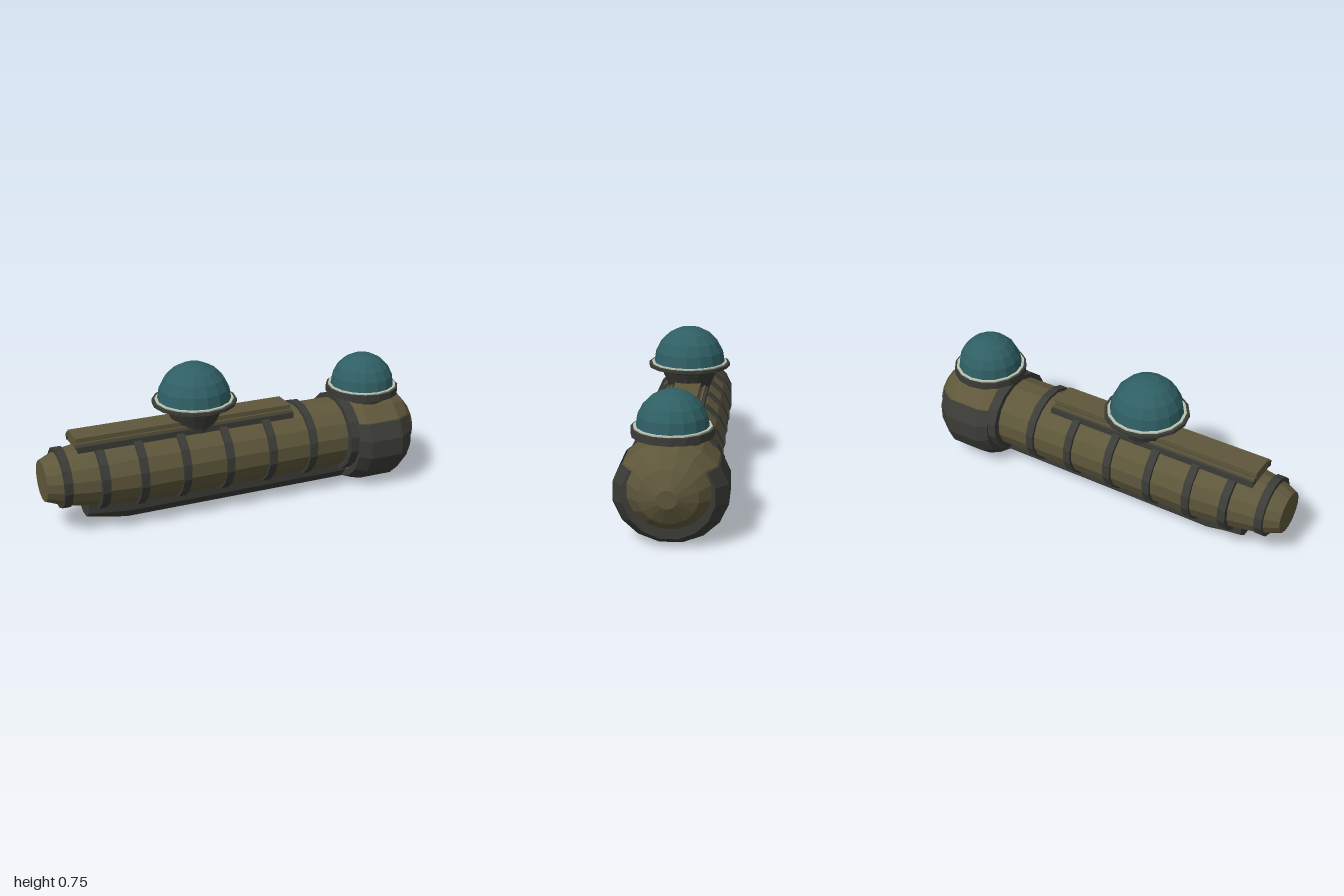
import * as THREE from 'three';

const mat = (name, color, side = THREE.FrontSide) => {
  const m = new THREE.MeshStandardMaterial({ color, side });
  m.name = name;
  return m;
};

// Faceted normals
function facet(geo) {
  const g = geo.index ? geo.toNonIndexed() : geo;
  g.computeVertexNormals();
  return g;
}

// Elliptical cross-sections [x, centreY, radiusY, radiusZ] joined along x.
// Angles run from the underside; arc < sides leaves the top open.
function loft(sections, sides = 16, arc = sides) {
  const pos = [], idx = [], n = arc + 1;
  for (const [x, cy, ry, rz] of sections) {
    for (let j = 0; j < n; j++) {
      const a = (j - arc / 2) * 2 * Math.PI / sides + (arc === sides ? Math.PI / sides : 0);
      pos.push(x, cy - ry * Math.cos(a), rz * Math.sin(a));
    }
  }
  for (let i = 0; i < sections.length - 1; i++) {
    for (let j = 0; j < arc; j++) {
      const a = i * n + j, b = a + n;
      idx.push(a, b, a + 1, b, b + 1, a + 1);
    }
  }
  // End caps on closed bodies
  if (arc === sides) {
    const last = sections.length - 1;
    for (const i of [0, last]) {
      const c = pos.length / 3;
      pos.push(sections[i][0], sections[i][1], 0);
      for (let j = 0; j < arc; j++) {
        const a = i * n + j;
        if (i === 0) idx.push(c, a, a + 1);
        else idx.push(c, a + 1, a);
      }
    }
  }
  const g = new THREE.BufferGeometry();
  g.setAttribute('position', new THREE.Float32BufferAttribute(pos, 3));
  g.setIndex(idx);
  return facet(g);
}

export function createModel() {
  const model = new THREE.Group();
  model.name = 'gondola';
  const olive = mat('olive hull', 0x5e573b);
  const dark = mat('dark metal', 0x3b3b37, THREE.DoubleSide);
  const teal = mat('teal glass', 0x2f5f64);
  const pale = mat('pale rim', 0xb9c4b2);

  const add = (name, geo, material, parent = model) => {
    const m = new THREE.Mesh(geo, material);
    m.name = name;
    parent.add(m);
    return m;
  };
  const box = (name, x0, x1, y0, y1, z, depth, material) =>
    add(name, new THREE.BoxGeometry(x1 - x0, y1 - y0, depth), material)
      .position.set((x0 + x1) / 2, (y0 + y1) / 2, z);

  // Hull, tapering to the tail
  add('hull', loft([
    [-1, 0.263, 0.1, 0.107], [-0.91, 0.264, 0.135, 0.148],
    [-0.74, 0.265, 0.16, 0.178], [-0.57, 0.265, 0.178, 0.194], [0.6, 0.265, 0.178, 0.194],
  ]), olive);

  // Hoops around the hull
  const hoops = [[-0.91, 0.147, 0.157], [-0.74, 0.176, 0.2]];
  for (const x of [-0.55, -0.335, -0.11, 0.12, 0.345]) hoops.push([x, 0.191, 0.208]);
  for (const [x, ry, rz] of hoops) {
    add('hullHoop', loft([[x - 0.02, 0.267, ry, rz], [x + 0.02, 0.267, ry, rz]]), dark);
  }
  add('neckCollar', loft([[0.545, 0.266, 0.2, 0.228], [0.6, 0.266, 0.2, 0.228]]), dark);

  // Keel under the hull
  add('keel', loft([
    [-0.8, 0.11, 0.065, 0.085], [-0.6, 0.11, 0.103, 0.1], [0.65, 0.11, 0.103, 0.1],
  ], 8), dark);

  // Rounded head and nose
  add('head', loft([
    [0.59, 0.25, 0.2, 0.22], [0.65, 0.236, 0.228, 0.25], [0.83, 0.236, 0.228, 0.248],
    [0.91, 0.265, 0.174, 0.186], [0.96, 0.26, 0.125, 0.135], [1, 0.26, 0.042, 0.045],
  ]), olive);

  // Chin guard wrapped around the lower head
  add('chinGuard', loft([
    [0.59, 0.24, 0.19, 0.2], [0.59, 0.24, 0.222, 0.236], [0.65, 0.23, 0.235, 0.26],
    [0.83, 0.23, 0.235, 0.26], [0.91, 0.245, 0.203, 0.205], [0.91, 0.255, 0.16, 0.17],
  ], 16, 11), dark);

  // Deck plank with paired rails
  box('deckPlank', -0.845, 0.275, 0.42, 0.475, 0, 0.13, olive);
  for (const s of [-1, 1]) {
    box('innerRail', -0.845, 0.275, 0.42, 0.45, s * 0.073, 0.018, dark);
    box('railStrip', -0.845, 0.275, 0.435, 0.458, s * 0.083, 0.01, olive);
    box('outerRail', -0.845, 0.275, 0.415, 0.445, s * 0.094, 0.014, dark);
  }

  // Domed turrets: lathed base, pale rim, glass dome
  const turret = (name, x, base, rimY, rimR, domeR) => {
    const g = new THREE.Group();
    g.name = name;
    g.position.x = x;
    model.add(g);
    const points = base.map(([r, y]) => new THREE.Vector2(r, y));
    add('turretBase', facet(new THREE.LatheGeometry(points, 16)), dark, g);
    add('rim', facet(new THREE.CylinderGeometry(rimR, rimR, 0.009, 16)), pale, g).position.y = rimY;
    const dome = new THREE.SphereGeometry(domeR, 16, 5, 0, Math.PI * 2, 0, Math.PI / 2);
    add('dome', facet(dome), teal, g).position.y = rimY + 0.003;
  };
  turret('deckTurret', -0.22,
    [[0.1, 0.4], [0.108, 0.44], [0.145, 0.525], [0.16, 0.528], [0.209, 0.545], [0.209, 0.56], [0, 0.56]],
    0.562, 0.194, 0.181);
  turret('headTurret', 0.72,
    [[0.125, 0.4], [0.135, 0.465], [0.187, 0.465], [0.187, 0.5], [0, 0.5]],
    0.502, 0.176, 0.163);

  return model;
}
